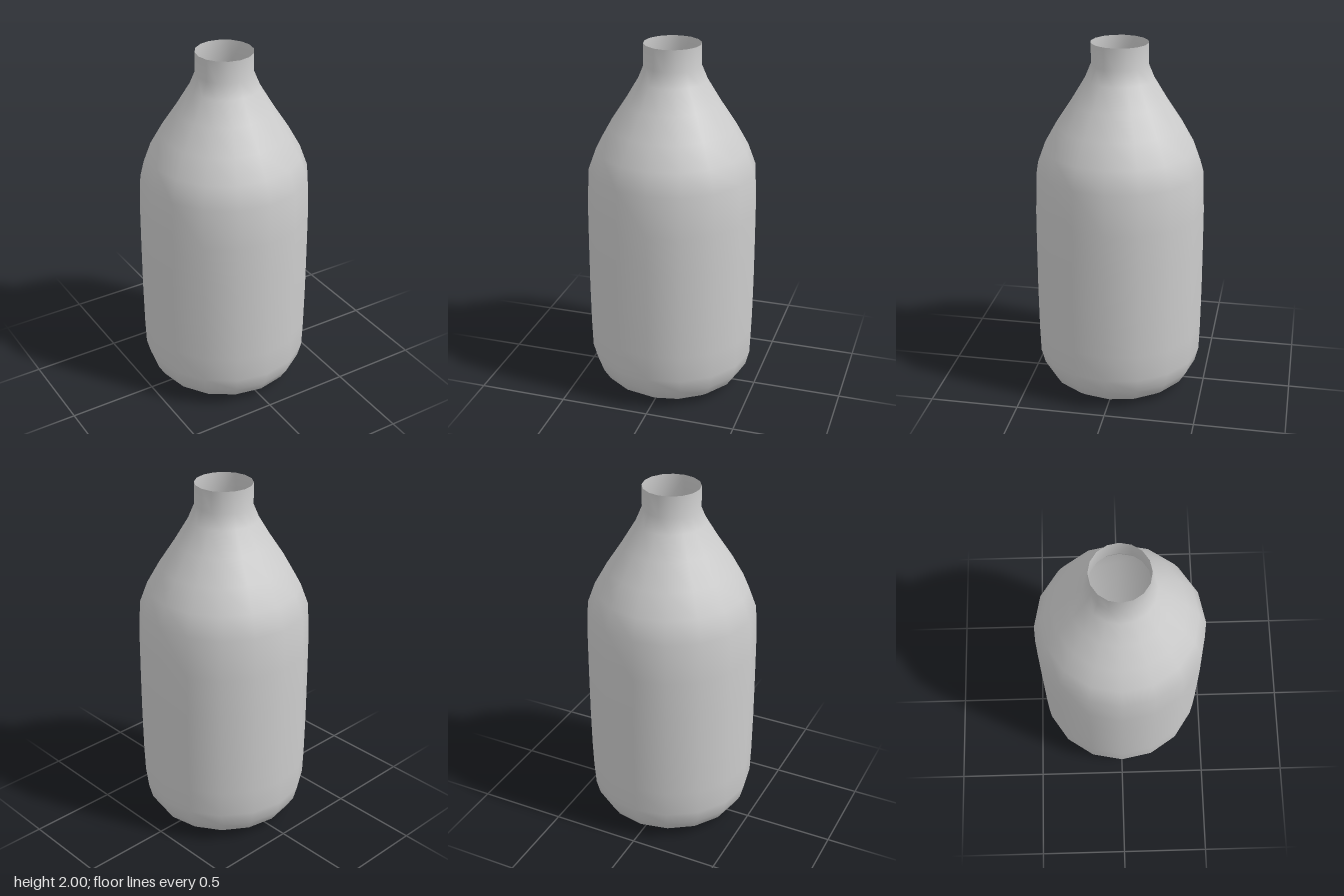
import * as THREE from 'three';

const SIDES = 16;

export function createModel() {
  const bottle = new THREE.Group();
  bottle.name = 'bottle';
  const grey = new THREE.MeshStandardMaterial({ color: 0xcccccc, side: THREE.DoubleSide });
  grey.name = 'light grey';

  // Thin open wall: rounded base, straight body, sloping shoulder, neck
  const profile = [
    [0.29, 0], [0.35, 0.015], [0.405, 0.055], [0.445, 0.12], [0.466, 0.2],
    [0.471, 0.35], [0.474, 0.6], [0.474, 0.85], [0.473, 1.07], [0.464, 1.3],
    [0.42, 1.42], [0.35, 1.545], [0.265, 1.675], [0.19, 1.8], [0.157, 1.88], [0.157, 2],
  ].map(([r, y]) => new THREE.Vector2(r, y));
  const wall = new THREE.Mesh(new THREE.LatheGeometry(profile, SIDES), grey);
  wall.name = 'bottleWall';
  bottle.add(wall);

  // Flat floor with a tiny hole in the middle
  const floorGeometry = new THREE.RingGeometry(0.012, 0.29, SIDES);
  floorGeometry.rotateX(Math.PI / 2);
  const floor = new THREE.Mesh(floorGeometry, grey);
  floor.name = 'bottleFloor';
  bottle.add(floor);

  return bottle;
}
